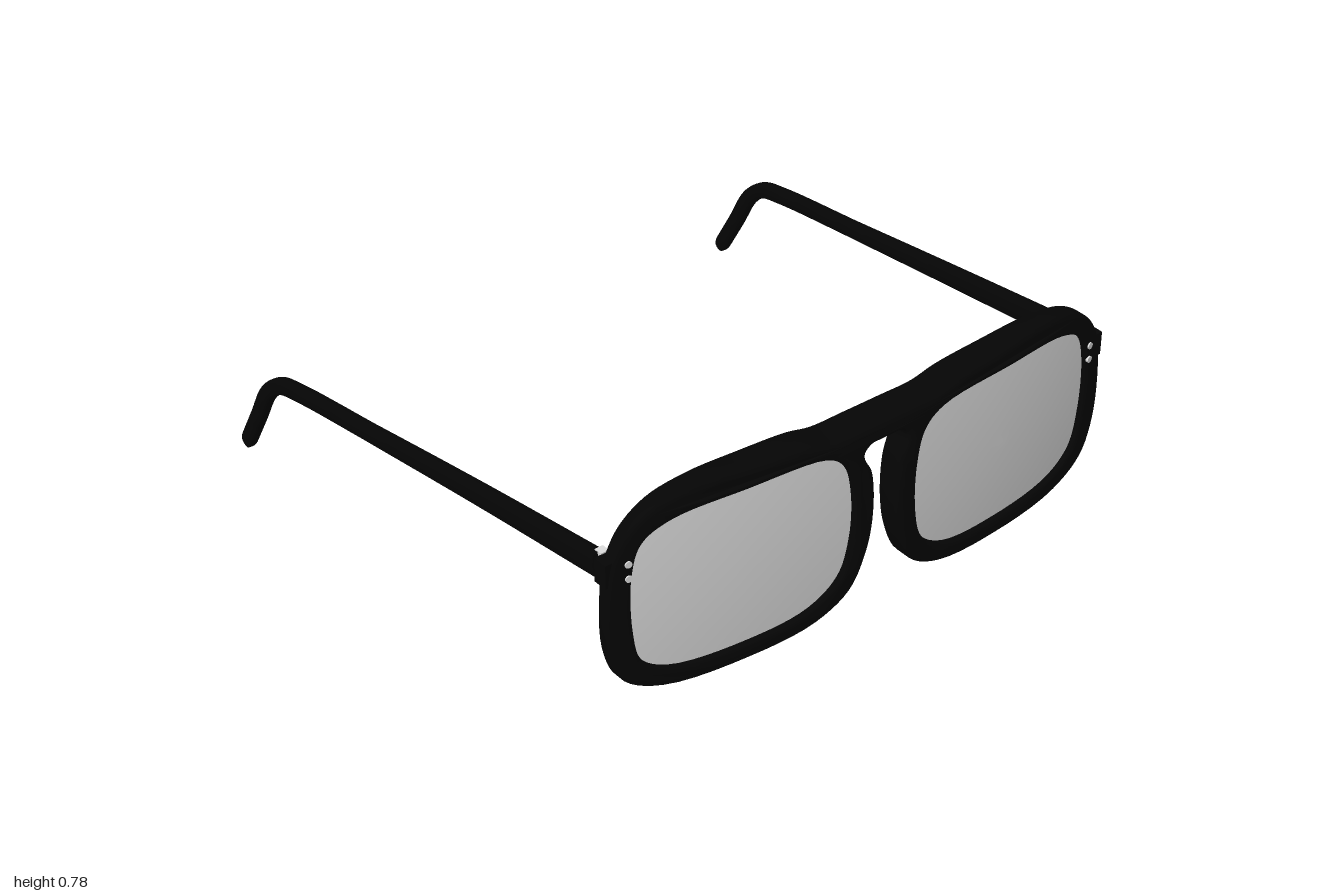
import * as THREE from 'three';
import { toCreasedNormals } from 'three/addons/utils/BufferGeometryUtils.js';

const black = new THREE.MeshStandardMaterial({ name: 'black acetate', color: 0x050505 });
const grey = new THREE.MeshStandardMaterial({ name: 'lens grey', color: 0xe0e0e0, side: THREE.DoubleSide });
const silver = new THREE.MeshStandardMaterial({ name: 'silver metal', color: 0xe0e0e0 });

// Half of the frame outline, from the bridge top round to the bridge underside
const OUTER = [[0.07, 0.745], [0.19, 0.746], [0.28, 0.765], [0.45, 0.778], [0.64, 0.785], [0.78, 0.764],
  [0.87, 0.705], [0.92, 0.62], [0.938, 0.5], [0.932, 0.31], [0.885, 0.195], [0.76, 0.13], [0.48, 0.11],
  [0.24, 0.13], [0.12, 0.195], [0.065, 0.31], [0.045, 0.42], [0.045, 0.54], [0.056, 0.6],
  [0.077, 0.64], [0.078, 0.665], [0.055, 0.683], [0.02, 0.685]];
// Lens opening on the +x side
const LENS = [[0.22, 0.695], [0.5, 0.71], [0.74, 0.7], [0.83, 0.655], [0.862, 0.56], [0.86, 0.36],
  [0.83, 0.25], [0.74, 0.19], [0.48, 0.168], [0.26, 0.19], [0.16, 0.26], [0.124, 0.38],
  [0.122, 0.54], [0.15, 0.645]];

const mirror = (pts) => pts.map(([x, y]) => [-x, y]).reverse();
const smoothLoop = (pts, n) => new THREE.CatmullRomCurve3(
  pts.map(([x, y]) => new THREE.Vector3(x, y, 0)), true).getPoints(n).slice(0, n);

// Bowed front face and mostly flat back face of the frame
const frontZ = (x, y) => 0.987 - 0.1 * Math.abs(x) ** 2.2 - 0.1 * (y - 0.44) ** 2;
const backZ = (x, y) => 0.852 +
  0.045 * Math.max(0, 1 - (x / 0.93) ** 2) * (1 - THREE.MathUtils.smoothstep(y, 0.6, 0.7));

function frameGeometry() {
  const bevel = 0.25;
  const shape = new THREE.Shape(smoothLoop([...OUTER, ...mirror(OUTER)], 230).reverse());
  for (const pts of [LENS, mirror(LENS)]) shape.holes.push(new THREE.Path(smoothLoop(pts, 84)));
  const geo = new THREE.ExtrudeGeometry(shape, {
    depth: 1, bevelEnabled: true, bevelThickness: bevel, bevelSize: 0.018, bevelOffset: -0.018, bevelSegments: 4,
  });
  const p = geo.attributes.position;
  for (let i = 0; i < p.count; i++) {
    const x = p.getX(i), y = p.getY(i);
    const t = (p.getZ(i) + bevel) / (1 + 2 * bevel);
    p.setZ(i, THREE.MathUtils.lerp(backZ(x, y), frontZ(x, y), t));
  }
  return toCreasedNormals(geo, 0.7);
}

// Concentric rings follow the curve of the frame
function lensGeometry(pts) {
  const loop = smoothLoop(pts, 84), rings = 10, n = loop.length;
  const cx = Math.sign(pts[0][0]) * 0.49, cy = 0.44;
  const pos = [], index = [];
  for (let r = 0; r <= rings; r++) {
    for (const q of loop) {
      const k = 1.012 * r / rings;
      const x = cx + (q.x - cx) * k, y = cy + (q.y - cy) * k;
      pos.push(x, y, frontZ(x, y) - 0.02);
    }
  }
  for (let r = 0; r < rings; r++) {
    for (let j = 0; j < n; j++) {
      // The loop runs clockwise seen from the front
      const a = r * n + j, b = r * n + (j + 1) % n;
      if (r > 0) index.push(a, b, a + n);
      index.push(b, b + n, a + n);
    }
  }
  const geo = new THREE.BufferGeometry();
  geo.setAttribute('position', new THREE.Float32BufferAttribute(pos, 3));
  geo.setIndex(index);
  geo.computeVertexNormals();
  // Share one smooth normal over the coincident centre points
  const nor = geo.attributes.normal;
  for (let j = 0; j < n; j++) nor.setXYZ(j, nor.getX(n), nor.getY(n), nor.getZ(n));
  return geo;
}

// Rounded-rectangle section swept along the arm, tapering to a rounded tip
function templeGeometry(s) {
  const path = new THREE.CatmullRomCurve3([
    [0.915, 0.584, 0.835], [0.932, 0.515, 0.3], [0.951, 0.443, -0.22], [0.967, 0.383, -0.64],
    [0.971, 0.357, -0.74], [0.974, 0.295, -0.815], [0.976, 0.17, -0.887], [0.977, 0.004, -0.984],
  ].map(([x, y, z]) => new THREE.Vector3(s * x, y, z)));
  const steps = 42, tipSteps = 6, tip = 0.965, sides = 20, pos = [], index = [];
  const stations = [[0, 0]];
  for (let i = 0; i <= steps; i++) stations.push([tip * i / steps, 1]);
  for (let i = 1; i <= tipSteps; i++) {
    const a = i / tipSteps * Math.PI / 2;
    stations.push([tip + (1 - tip) * Math.sin(a), Math.cos(a)]);
  }
  const soft = (v) => Math.sign(v) * Math.abs(v) ** 0.6;
  for (const [t, k] of stations) {
    const c = path.getPoint(t), d = path.getTangent(t);
    const len = Math.hypot(d.y, d.z);
    const w = k * THREE.MathUtils.lerp(0.026, 0.02, t);
    const h = k * (0.027 + 0.014 * Math.max(0, 1 - t / 0.3));
    for (let j = 0; j < sides; j++) {
      const a = j / sides * Math.PI * 2, v = h * soft(Math.sin(a));
      pos.push(c.x + w * soft(Math.cos(a)), c.y - v * d.z / len, c.z + v * d.y / len);
    }
  }
  for (let i = 0; i < stations.length - 1; i++) {
    for (let j = 0; j < sides; j++) {
      const a = i * sides + j, b = i * sides + (j + 1) % sides;
      index.push(a, a + sides, b, b, a + sides, b + sides);
    }
  }
  const geo = new THREE.BufferGeometry();
  geo.setAttribute('position', new THREE.Float32BufferAttribute(pos, 3));
  geo.setIndex(index);
  return toCreasedNormals(geo, 0.9);
}

export function createModel() {
  const model = new THREE.Group();
  model.name = 'glasses';
  const add = (name, geo, mat, x = 0, y = 0, z = 0) => {
    const mesh = new THREE.Mesh(geo, mat);
    mesh.name = name;
    mesh.position.set(x, y, z);
    model.add(mesh);
    return mesh;
  };

  add('frame', frameGeometry(), black);

  for (const s of [1, -1]) {
    const side = s > 0 ? 'left' : 'right';
    add(side + 'Lens', lensGeometry(s > 0 ? LENS : mirror(LENS)), grey);
    add(side + 'Temple', templeGeometry(s), black);
    // Hinge: end block on the frame, metal plate let into the arm
    add(side + 'EndBlock', new THREE.BoxGeometry(0.055, 0.08, 0.05), black, s * 0.915, 0.583, 0.869);
    add(side + 'Hinge', new THREE.BoxGeometry(0.028, 0.084, 0.028), silver, s * 0.906, 0.585, 0.831);
    // Two rivets on the front corner
    for (const y of [0.56, 0.608]) {
      const rivet = add(side + 'Rivet', new THREE.CylinderGeometry(0.011, 0.011, 0.008, 16), silver,
        s * 0.876, y, frontZ(0.876, y));
      rivet.rotation.set(Math.PI / 2, 0, -s * 0.18);
    }
  }
  return model;
}
